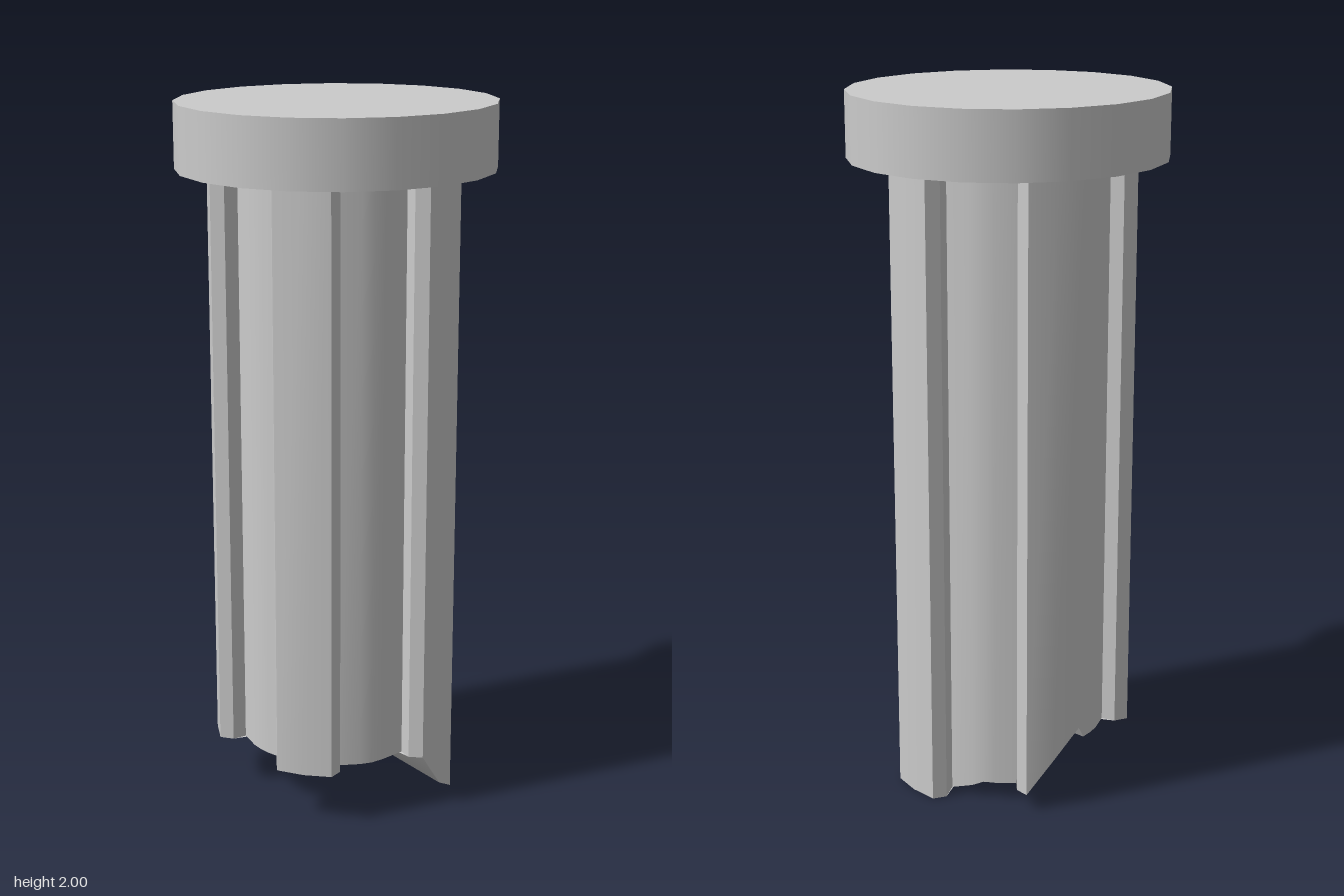
import * as THREE from 'three';
import { toCreasedNormals } from 'three/addons/utils/BufferGeometryUtils.js';

const CAP_BOTTOM = 1.815;

// Station (degrees from +z towards +x) and height of the cut lower rim
const RIM = [
  [0, 0.148], [23, 0.16], [36, 0.05], [49, 0.005], [53, 0], [55, 0.05], [72, 0],
  [125, 0], [127, 0.01], [144, 0.05], [167, 0.05], [180, 0.15], [197, 0.26], [199, 0.27], [209, 0.148], [360, 0.148],
];

// One spline and the groove after it: [station, angle, radius].
// The inner wall corners undercut the chamfered outer corners.
const SPLINE = [
  [-19, -15.3, 0.283], [-17, -17, 0.323], [-13, -13, 0.357], [0, 0, 0.357],
  [13, 13, 0.357], [17, 17, 0.323], [19, 15.3, 0.283],
  [29, 29, 0.283], [36, 36, 0.283], [43, 43, 0.283],
];

function rimHeight(station) {
  const s = (station + 360) % 360;
  const i = Math.max(1, RIM.findIndex(([t]) => t >= s));
  const [s0, y0] = RIM[i - 1];
  const [s1, y1] = RIM[i];
  return y0 + (y1 - y0) * (s - s0) / (s1 - s0);
}

// Five-splined shaft, closed below by a fan that follows the cut rim
function shaftGeometry() {
  const points = [];
  for (let k = 0; k < 5; k++) {
    const turn = 36 + 72 * k;
    for (const [station, angle, r] of SPLINE) {
      const t = THREE.MathUtils.degToRad(turn + angle);
      const x = r * Math.sin(t);
      const z = r * Math.cos(t);
      points.push(x, rimHeight(turn + station), z, x, CAP_BOTTOM, z);
    }
  }
  const count = 5 * SPLINE.length;
  const centre = 2 * count;
  points.push(0, 0.15, 0);
  const index = [];
  for (let i = 0; i < count; i++) {
    const a = 2 * i;
    const b = 2 * ((i + 1) % count);
    index.push(a, b, b + 1, a, b + 1, a + 1, centre, b, a);
  }
  const geometry = new THREE.BufferGeometry();
  geometry.setAttribute('position', new THREE.Float32BufferAttribute(points, 3));
  geometry.setIndex(index);
  return toCreasedNormals(geometry, 0.42);
}

export function createModel() {
  const material = new THREE.MeshStandardMaterial({ color: 0xcccccc });
  const group = new THREE.Group();

  const shaft = new THREE.Mesh(shaftGeometry(), material);
  shaft.name = 'splinedShaft';
  group.add(shaft);

  // Round head, slightly narrower front to back
  const capGeometry = new THREE.CylinderGeometry(0.447, 0.447, 2 - CAP_BOTTOM, 20);
  capGeometry.scale(1, 1, 0.968);
  const cap = new THREE.Mesh(capGeometry, material);
  cap.name = 'cap';
  cap.position.y = (2 + CAP_BOTTOM) / 2;
  group.add(cap);

  return group;
}
